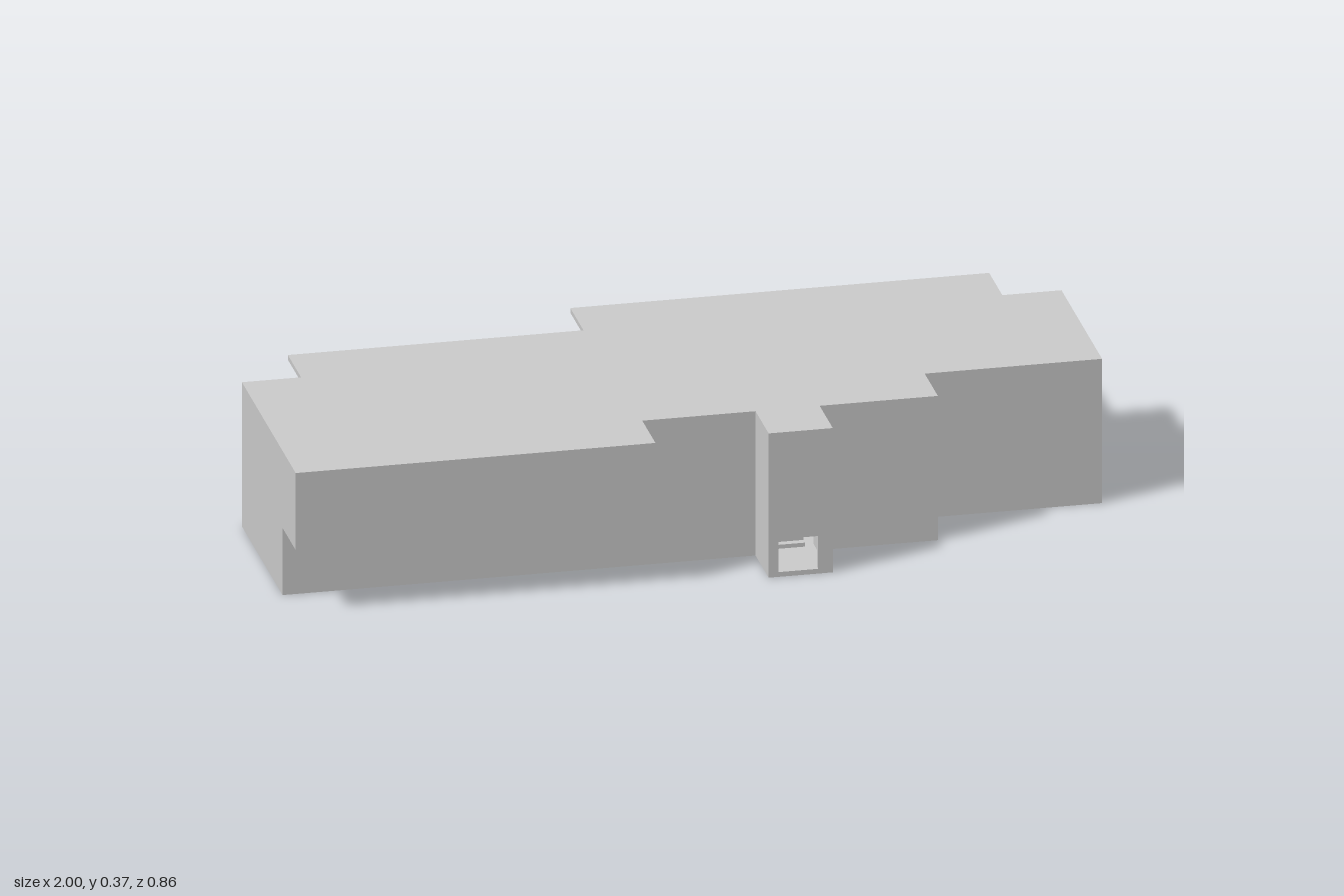
import * as THREE from 'three';

const U = 0.142;        // planning grid module
const T = 0.012;        // wall and slab thickness
const LEVELS = [[0, 0.182], [0.182, 0.365]]; // storey bottoms and tops
const material = new THREE.MeshStandardMaterial({ color: 0xcccccc });

// Outlines in grid units as [x, z]
const rear = [[7, 1], [7, -2], [6, -2], [6, -3], [-1, -3], [-1, -2], [-6, -2], [-6, -1], [-7, -1]];
const front = [[1, 2], [1, 3], [2, 3], [2, 2], [4, 2], [4, 1]];
const groundOutline = [[-7, 2], ...front, ...rear];
const upperOutline = [[-7, 3], [-1, 3], [-1, 2], ...front, ...rear];

function addMesh(parent, geometry, name) {
  const mesh = new THREE.Mesh(geometry, material);
  mesh.name = name;
  parent.add(mesh);
  return mesh;
}

function addBox(parent, name, x0, x1, y0, y1, z0, z1) {
  const mesh = addMesh(parent, new THREE.BoxGeometry(x1 - x0, y1 - y0, z1 - z0), name);
  mesh.position.set((x0 + x1) / 2, (y0 + y1) / 2, (z0 + z1) / 2);
}

// Flat slab, pushed out by half a wall thickness all round
function addSlab(parent, outline, top, name) {
  const n = outline.length;
  const normal = (a, b) => [-Math.sign(b[1] - a[1]), Math.sign(b[0] - a[0])];
  const points = outline.map((p, i) => {
    const a = normal(outline[(i + n - 1) % n], p);
    const b = normal(p, outline[(i + 1) % n]);
    return new THREE.Vector2(p[0] * U + (a[0] + b[0]) * T / 2, -(p[1] * U + (a[1] + b[1]) * T / 2));
  });
  const geometry = new THREE.ExtrudeGeometry(new THREE.Shape(points), { depth: T, bevelEnabled: false });
  geometry.rotateX(-Math.PI / 2).translate(0, top - T, 0);
  addMesh(parent, geometry, name);
}

// Straight wall pieces along a path of grid points
function addWalls(parent, path, level, name) {
  const [base, top] = LEVELS[level];
  const y0 = level ? base : T;
  for (let i = 0; i + 1 < path.length; i++) {
    const [ax, az] = path[i], [bx, bz] = path[i + 1];
    addBox(parent, name,
      Math.min(ax, bx) * U - T / 2, Math.max(ax, bx) * U + T / 2, y0, top - T,
      Math.min(az, bz) * U - T / 2, Math.max(az, bz) * U + T / 2);
  }
}

export function createModel() {
  const building = new THREE.Group();
  building.name = 'building';

  // Floors and roof
  addSlab(building, groundOutline, T, 'groundSlab');
  addSlab(building, upperOutline, LEVELS[0][1], 'middleSlab');
  addSlab(building, upperOutline, LEVELS[1][1], 'roof');

  // Outer walls, leaving the rear terraces open
  const rightEnd = [[2, 3], [2, 2], [4, 2], [4, 1], [7, 1], [7, -2], [6, -2], [6, -3], [5, -3]];
  addWalls(building, [[-6, -1], [-7, -1], [-7, 2], [1, 2], [1, 3]], 0, 'lowerWall');
  addWalls(building, [[-6, -1], [-7, -1], [-7, 3], [-1, 3], [-1, 2], [1, 2], [1, 3], [2, 3]], 1, 'upperWall');

  for (const level of [0, 1]) {
    addWalls(building, rightEnd, level, 'outerWall');
    // Recessed terrace wall and its returns
    addWalls(building, [[5, -3], [5, -1], [-1, -1], [-1, -2]], level, 'terraceWall');
    addWalls(building, [[-2, 1], [-1, 1]], level, 'innerWall');
  }
  addWalls(building, [[-5, -2], [-5, -1]], 1, 'upperPartition');

  // Lower partition with a doorway
  const px = -4 * U;
  addBox(building, 'partitionPier', px - T / 2, px + T / 2, T, 0.17, -2 * U, -1.75 * U);
  addBox(building, 'partitionHeader', px - T / 2, px + T / 2, 0.125, 0.17, -1.75 * U, -U);

  // Entrance front with its door opening
  const z0 = 3 * U - T / 2, z1 = 3 * U + T / 2;
  addBox(building, 'entranceJamb', U, 0.16, T, 0.17, z0, z1);
  addBox(building, 'entranceJamb', 0.255, 2 * U, T, 0.17, z0, z1);
  addBox(building, 'entranceHeader', 0.16, 0.255, 0.095, 0.17, z0, z1);

  // Stairs inside the entrance
  const steps = 8;
  for (let i = 0; i < steps; i++) {
    const z = 0.29 - i * 0.0175;
    addBox(building, 'stairStep', 0.16, 0.255, T, T + (i + 1) * 0.01, z - 0.0175, z);
  }
  return building;
}
